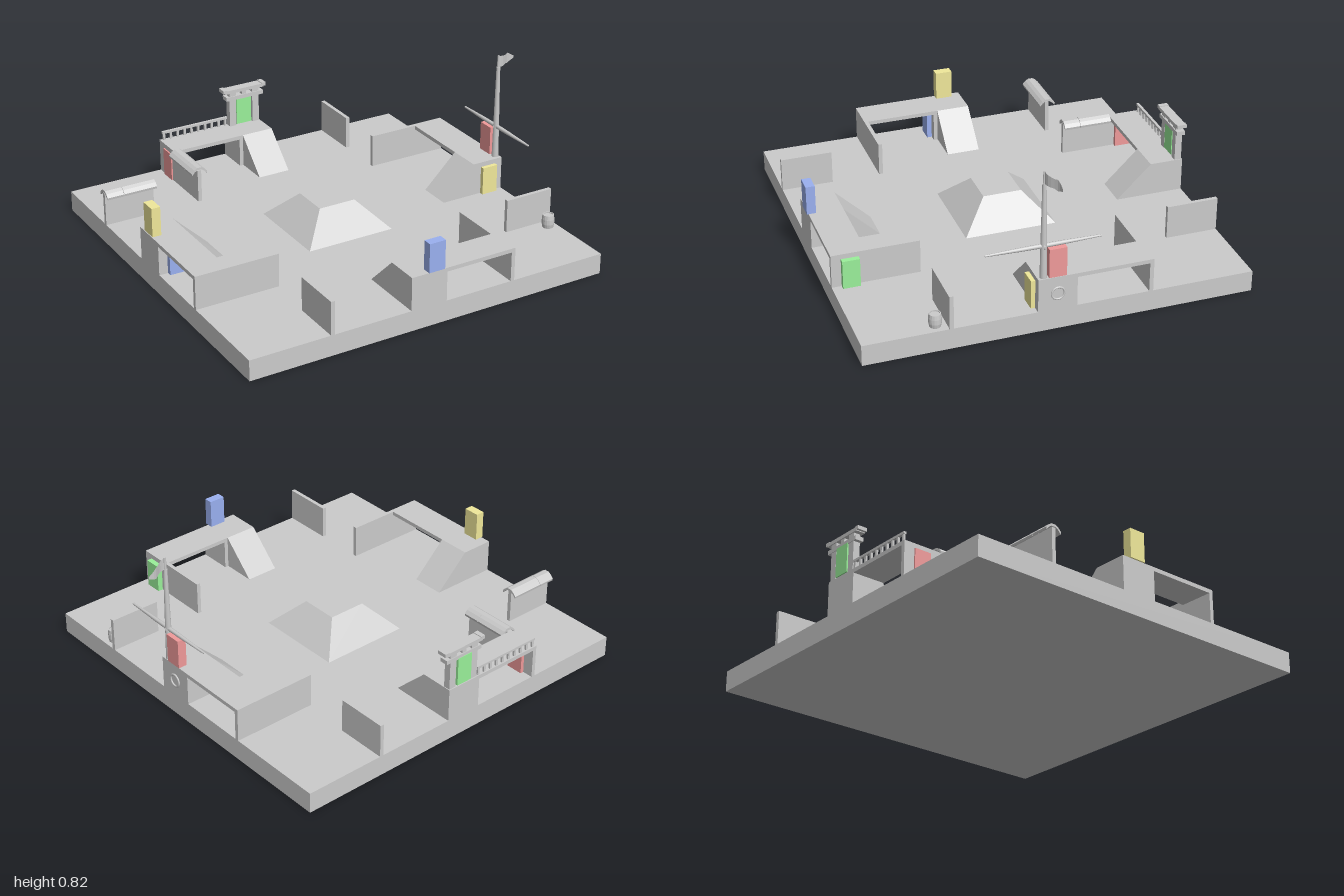
import * as THREE from 'three';

const grey = new THREE.MeshStandardMaterial({ color: 0xcccccc, flatShading: true });
const smooth = new THREE.MeshStandardMaterial({ color: 0xcccccc });
const thin = new THREE.MeshStandardMaterial({ color: 0xcccccc, flatShading: true, side: THREE.DoubleSide });
const paint = (color) => new THREE.MeshStandardMaterial({ color });
const blue = paint(0x9ab0f0), red = paint(0xf09a9a), green = paint(0x9af09a), yellow = paint(0xf0e89a);

const FLOOR = 0.105, DECK = 0.275;

function add(parent, name, geometry, material = grey) {
  const mesh = new THREE.Mesh(geometry, material);
  mesh.name = name;
  parent.add(mesh);
  return mesh;
}

// Box given by its low and high limits on each axis
function box(parent, name, [x0, x1], [y0, y1], [z0, z1], material) {
  const mesh = add(parent, name, new THREE.BoxGeometry(x1 - x0, y1 - y0, z1 - z0), material);
  mesh.position.set((x0 + x1) / 2, (y0 + y1) / 2, (z0 + z1) / 2);
  return mesh;
}

function extrude(points, depth) {
  const shape = new THREE.Shape(points.map(([x, y]) => new THREE.Vector2(x, y)));
  return new THREE.ExtrudeGeometry(shape, { depth, bevelEnabled: false });
}

// One side of the arena: deck, support block, ramp, long wall and free wall
function makeSide(name, angle) {
  const side = new THREE.Group();
  side.name = name;
  side.rotation.y = angle;
  side.position.set(-0.05, 0, -0.005);
  box(side, 'deck', [-0.12, 0.445], [0.255, DECK], [0.78, 0.95]);
  box(side, 'deckSupport', [-0.12, 0.07], [FLOOR, 0.255], [0.78, 0.95]);
  box(side, 'longWall', [0.425, 0.445], [FLOOR, DECK], [0.52, 0.95]);
  box(side, 'freeWall', [-0.54, -0.52], [FLOOR, DECK], [0.69, 0.95]);
  const ramp = add(side, 'ramp', extrude([[0, FLOOR], [0.175, FLOOR], [0, DECK]], 0.17));
  ramp.rotation.y = Math.PI / 2;
  ramp.position.set(-0.12, 0, 0.78);
  return side;
}

// Curved tile cap that sits over a wall top, made of two lengths
function makeWallRoof(length) {
  const roof = new THREE.Group();
  roof.name = 'wallRoof';
  const outer = [[-0.043, 0.265], [-0.028, 0.281], [-0.012, 0.291], [0.012, 0.291], [0.028, 0.281], [0.043, 0.265]];
  const inner = outer.map(([x, y]) => [x * 0.95, y - 0.012]).reverse();
  [0, 1].forEach((i) => {
    const tile = add(roof, 'roofTile', extrude([...outer, ...inner], length * (i ? 0.335 : 0.66)));
    tile.position.z = i ? length * 0.665 : 0;
  });
  return roof;
}

function makeGate() {
  const gate = new THREE.Group();
  gate.name = 'gate';
  const z = [-0.95, -0.915];
  [-1, 1].forEach((s) => {
    const cx = -0.02 + s * 0.067;
    box(gate, 'gatePost', [cx - 0.019, cx + 0.019], [DECK, 0.465], z);
    // Upturned ends of the top beam
    const tip = -0.02 + s * 0.112;
    box(gate, 'beamEnd', [tip - 0.012, tip + 0.012], [0.468, 0.486], [-0.955, -0.905]);
  });
  box(gate, 'lowerBeam', [-0.125, 0.09], [0.422, 0.443], [-0.953, -0.91]);
  box(gate, 'upperBeam', [-0.13, 0.09], [0.464, 0.482], [-0.955, -0.905]);
  box(gate, 'gateCentre', [-0.032, -0.008], [0.443, 0.464], z);
  return gate;
}

function makeRailing() {
  const railing = new THREE.Group();
  railing.name = 'railing';
  box(railing, 'handrail', [-0.485, -0.11], [0.31, 0.322], [-0.952, -0.938]);
  for (let i = 0; i < 10; i++) {
    const x = -0.475 + i * 0.0395;
    box(railing, 'baluster', [x - 0.006, x + 0.006], [DECK, 0.312], [-0.95, -0.94]);
  }
  return railing;
}

function makeMast() {
  const mast = new THREE.Group();
  mast.name = 'mast';
  mast.position.set(0.88, 0, 0.085);
  const pole = add(mast, 'pole', new THREE.CylinderGeometry(0.01, 0.018, 0.485, 10), smooth);
  pole.position.y = 0.518;

  // Long boom thinning towards both ends
  const profile = [[0, -0.28], [0.005, -0.275], [0.01, -0.1], [0.011, 0], [0.01, 0.1], [0.005, 0.275], [0, 0.28]];
  const boom = add(mast, 'boom', new THREE.LatheGeometry(profile.map(([r, y]) => new THREE.Vector2(r, y)), 8), smooth);
  boom.rotation.x = Math.PI / 2;
  boom.position.y = 0.441;
  const joint = add(mast, 'boomJoint', new THREE.TorusGeometry(0.014, 0.005, 8, 16), smooth);
  joint.position.y = 0.437;

  // Waving pennant, bent by a sine along its length
  const flag = new THREE.PlaneGeometry(0.12, 1, 8, 1);
  const p = flag.attributes.position;
  for (let i = 0; i < p.count; i++) {
    const t = p.getX(i) / 0.12 + 0.5;
    const half = t < 0.55 ? 0.031 - t * 0.014 : 0.027 * (1 - t) / 0.45 + 0.006;
    p.setXYZ(i, t * 0.12, 0.79 - t * 0.012 + Math.sign(p.getY(i)) * half, -t * 0.045 + Math.sin(t * 7) * 0.006);
  }
  flag.computeVertexNormals();
  add(mast, 'flag', flag, thin);
  const flagPole = add(mast, 'flagHoist', new THREE.CylinderGeometry(0.006, 0.008, 0.07, 8), smooth);
  flagPole.position.y = 0.787;
  return mast;
}

export function createModel() {
  const model = new THREE.Group();
  model.name = 'arena';
  box(model, 'base', [-1, 0.9], [0, FLOOR], [-0.955, 0.945]);

  // Central mound: a square pyramid cut flat
  const mound = add(model, 'mound', new THREE.CylinderGeometry(0.097 * Math.SQRT2, 0.23 * Math.SQRT2, 0.137, 4, 1, false, Math.PI / 4));
  mound.position.set(-0.05, FLOOR + 0.0685, -0.01);

  ['frontSide', 'rightSide', 'backSide', 'leftSide'].forEach((name, i) => model.add(makeSide(name, i * Math.PI / 2)));

  // Panels standing on the decks
  box(model, 'frontDeckPanel', [-0.085, 0], [0.28, 0.427], [0.91, 0.955], blue);
  box(model, 'leftDeckPanel', [-1, -0.955], [0.28, 0.427], [-0.075, 0.01], yellow);
  box(model, 'rightDeckPanel', [0.86, 0.905], [0.28, 0.427], [-0.02, 0.065], red);
  box(model, 'backDeckPanel', [-0.065, 0.02], [0.28, 0.427], [-0.955, -0.915], green);

  // Panels against the walls below
  box(model, 'frontWallPanel', [0.38, 0.422], [FLOOR, 0.25], [0.812, 0.897], green);
  box(model, 'leftWallPanel', [-0.955, -0.87], [FLOOR, 0.25], [0.05, 0.09], blue);
  box(model, 'rightWallPanel', [0.775, 0.86], [FLOOR, 0.25], [0.095, 0.136], yellow);
  box(model, 'backWallPanel', [-0.502, -0.457], [FLOOR, 0.25], [-0.9, -0.812], red);

  // Tile caps on the back long wall and the left free wall
  const backRoof = makeWallRoof(0.255);
  backRoof.position.set(-0.485, 0, -0.78);
  const leftRoof = makeWallRoof(0.265);
  leftRoof.rotation.y = -Math.PI / 2;
  leftRoof.position.set(-0.735, 0, -0.535);
  model.add(backRoof, leftRoof, makeGate(), makeRailing(), makeMast());

  // Ring hung on the right outer face
  const ring = add(model, 'wallRing', new THREE.TorusGeometry(0.031, 0.005, 8, 24), smooth);
  ring.rotation.y = Math.PI / 2;
  ring.position.set(0.902, 0.19, 0.02);

  // Barrel with bulged side
  const staves = [[0, 0], [0.027, 0], [0.031, 0.02], [0.031, 0.045], [0.028, 0.067], [0.024, 0.067], [0.024, 0.061], [0, 0.061]];
  const barrel = add(model, 'barrel', new THREE.LatheGeometry(staves.map(([r, y]) => new THREE.Vector2(r, y)), 16), grey);
  barrel.position.set(0.85, FLOOR, 0.588);
  return model;
}
